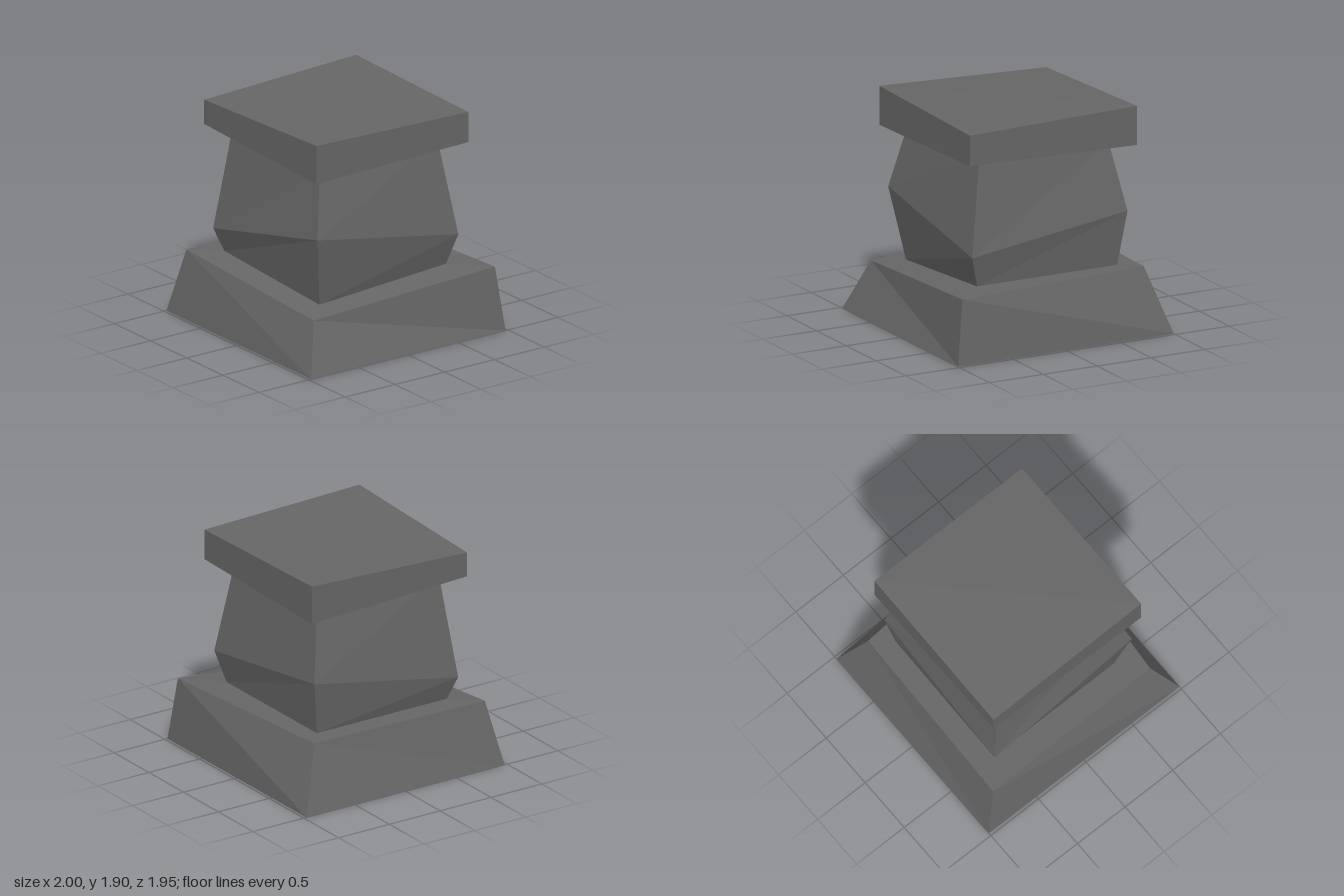
import * as THREE from 'three';

// Each loop has four corners: front left of view, front right, back right, back left
const BASE_FOOT = [[-1, 0, 0.975], [1, 0, 0.975], [1, 0, -0.975], [-1, 0, -0.975]];
const BASE_TOP = [[-0.87, 0.545, 0.87], [0.82, 0.42, 0.82], [0.93, 0.545, -0.92], [-0.83, 0.545, -0.78]];
const BODY_FOOT = [[-0.66, 0.545, 0.64], [0.61, 0.45, 0.61], [0.64, 0.545, -0.64], [-0.66, 0.545, -0.64]];
const BODY_MID = [[-0.72, 0.74, 0.71], [0.72, 1.06, 0.71], [0.72, 0.81, -0.705], [-0.72, 1.01, -0.705]];
const BODY_TOP = [[-0.6, 1.63, 0.6], [0.6, 1.59, 0.6], [0.59, 1.615, -0.59], [-0.6, 1.59, -0.6]];
const CAP_FOOT = [[-0.775, 1.635, 0.76], [0.775, 1.575, 0.76], [0.775, 1.61, -0.765], [-0.775, 1.575, -0.765]];
const CAP_TOP = [[-0.775, 1.845, 0.76], [0.775, 1.905, 0.76], [0.775, 1.87, -0.765], [-0.775, 1.905, -0.765]];

// Two triangles, folded along the a-c diagonal
const quad = (a, b, c, d) => [a, b, c, a, c, d];

// Four quads between two loops; falling picks the other diagonal
function band(lo, hi, falling = false) {
  return lo.flatMap((a, i) => {
    const j = (i + 1) % 4;
    return falling ? quad(lo[j], hi[j], hi[i], a) : quad(a, lo[j], hi[j], hi[i]);
  });
}

function part(name, points, material) {
  const geometry = new THREE.BufferGeometry();
  geometry.setAttribute('position', new THREE.Float32BufferAttribute(points.flat(), 3));
  geometry.computeVertexNormals();
  const mesh = new THREE.Mesh(geometry, material);
  mesh.name = name;
  return mesh;
}

export function createModel() {
  const stone = new THREE.MeshStandardMaterial({ color: 0x666666, flatShading: true, side: THREE.DoubleSide });
  stone.name = 'darkStone';

  const group = new THREE.Group();
  group.name = 'pedestal';

  // Hollow sloping base with a ledge that meets the body
  group.add(part('base', [
    ...band(BASE_FOOT, BASE_TOP, true),
    ...band(BASE_TOP, BODY_FOOT),
  ], stone));

  // Bulging block, closed underneath
  const [f0, f1, f2, f3] = BODY_FOOT;
  group.add(part('body', [
    ...quad(f0, f3, f2, f1),
    ...band(BODY_FOOT, BODY_MID),
    ...band(BODY_MID, BODY_TOP),
  ], stone));

  // Uneven slab on top
  const [c0, c1, c2, c3] = CAP_FOOT;
  const [t0, t1, t2, t3] = CAP_TOP;
  group.add(part('cap', [
    ...quad(c1, c0, c3, c2),
    ...band(CAP_FOOT, CAP_TOP),
    ...quad(t1, t2, t3, t0),
  ], stone));

  return group;
}
